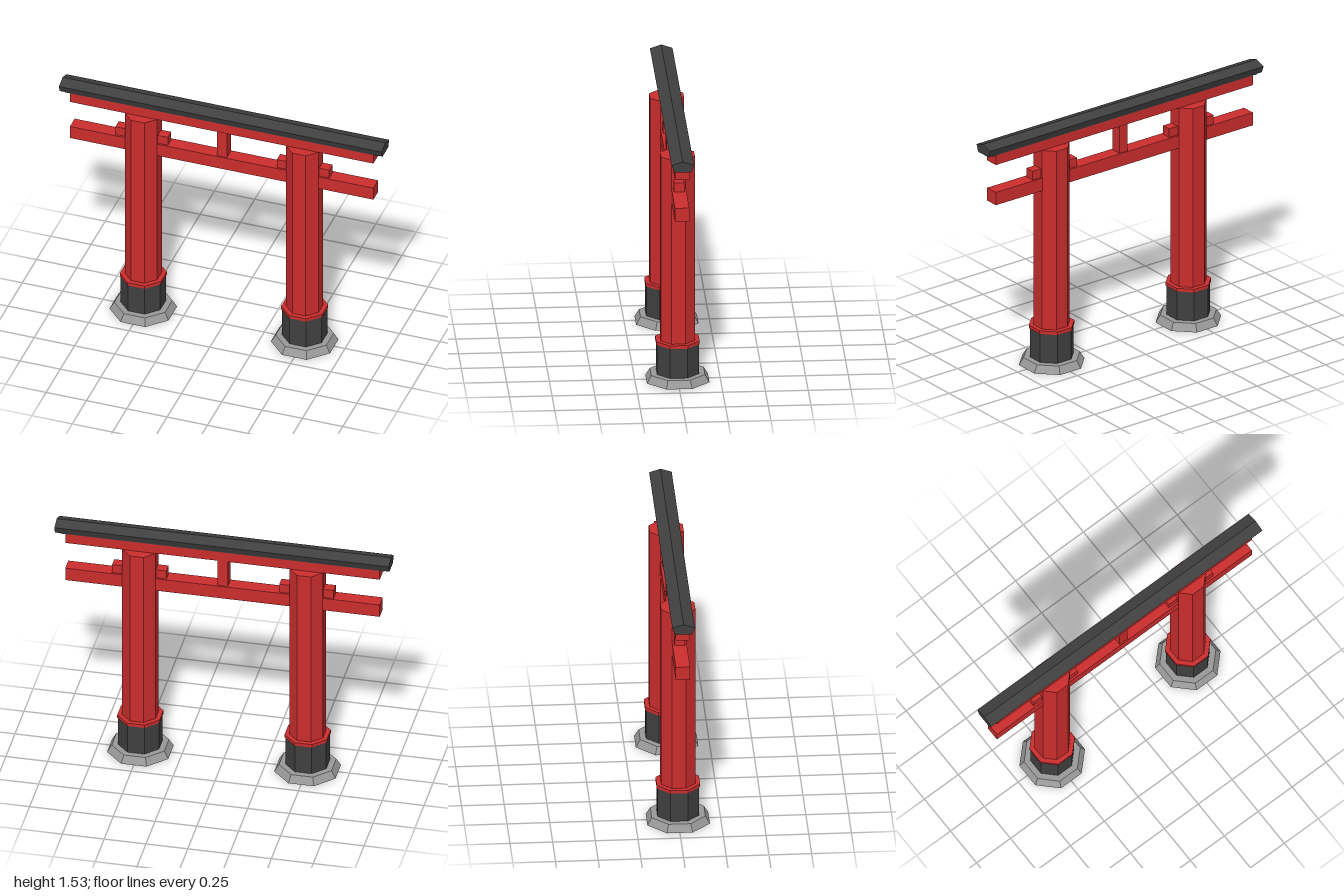
import * as THREE from 'three';

const paint = (color) => new THREE.MeshStandardMaterial({ color, flatShading: true });

export function createModel() {
  const red = paint(0xcc2d2d), dark = paint(0x404040), stone = paint(0x999999);
  const gate = new THREE.Group();
  gate.name = 'gate';

  const add = (parent, name, geometry, material, x = 0, y = 0, z = 0) => {
    const mesh = new THREE.Mesh(geometry, material);
    mesh.name = name;
    mesh.position.set(x, y, z);
    parent.add(mesh);
    return mesh;
  };

  // Box spanning y0..y1, centred on x
  const box = (name, width, y0, y1, depth, material, x = 0) =>
    add(gate, name, new THREE.BoxGeometry(width, y1 - y0, depth), material, x, (y0 + y1) / 2);

  // Octagonal prism with flats facing the axes, sized by its half width across flats
  const octagon = (parent, name, bottom, top, y0, y1, material) => {
    const k = 1 / Math.cos(Math.PI / 8);
    const geometry = new THREE.CylinderGeometry(top * k, bottom * k, y1 - y0, 8);
    geometry.rotateY(Math.PI / 8);
    return add(parent, name, geometry, material, 0, (y0 + y1) / 2);
  };

  // Pillars with stepped feet, and the wedges that lock the tie beam
  for (const side of [-1, 1]) {
    const pillar = new THREE.Group();
    pillar.name = side > 0 ? 'leftPillar' : 'rightPillar';
    pillar.position.x = side * 0.5;
    octagon(pillar, 'plinth', 0.183, 0.157, 0, 0.045, stone);
    octagon(pillar, 'sleeve', 0.122, 0.122, 0.045, 0.23, dark);
    octagon(pillar, 'collar', 0.127, 0.127, 0.23, 0.25, red);
    octagon(pillar, 'shaft', 0.1, 0.1, 0.25, 1.396, red);
    gate.add(pillar);
    box('wedge', 0.325, 1.22, 1.275, 0.06, red, side * 0.5);
  }

  // Beams and centre strut
  box('tieBeam', 1.88, 1.138, 1.22, 0.084, red);
  box('centreStrut', 0.06, 1.22, 1.396, 0.07, red);
  box('lintel', 1.88, 1.396, 1.465, 0.084, red);

  // Roof beam: five-sided profile swept along x
  box('roofUnderside', 1.94, 1.459, 1.467, 0.09, dark);
  const profile = new THREE.Shape([
    [-0.05, 1.465], [0.05, 1.465], [0.066, 1.508], [0, 1.53], [-0.066, 1.508],
  ].map(([z, y]) => new THREE.Vector2(z, y)));
  const roof = new THREE.ExtrudeGeometry(profile, { depth: 2, bevelEnabled: false });
  roof.translate(0, 0, -1);
  roof.rotateY(Math.PI / 2);
  add(gate, 'roofBeam', roof, dark);

  return gate;
}
